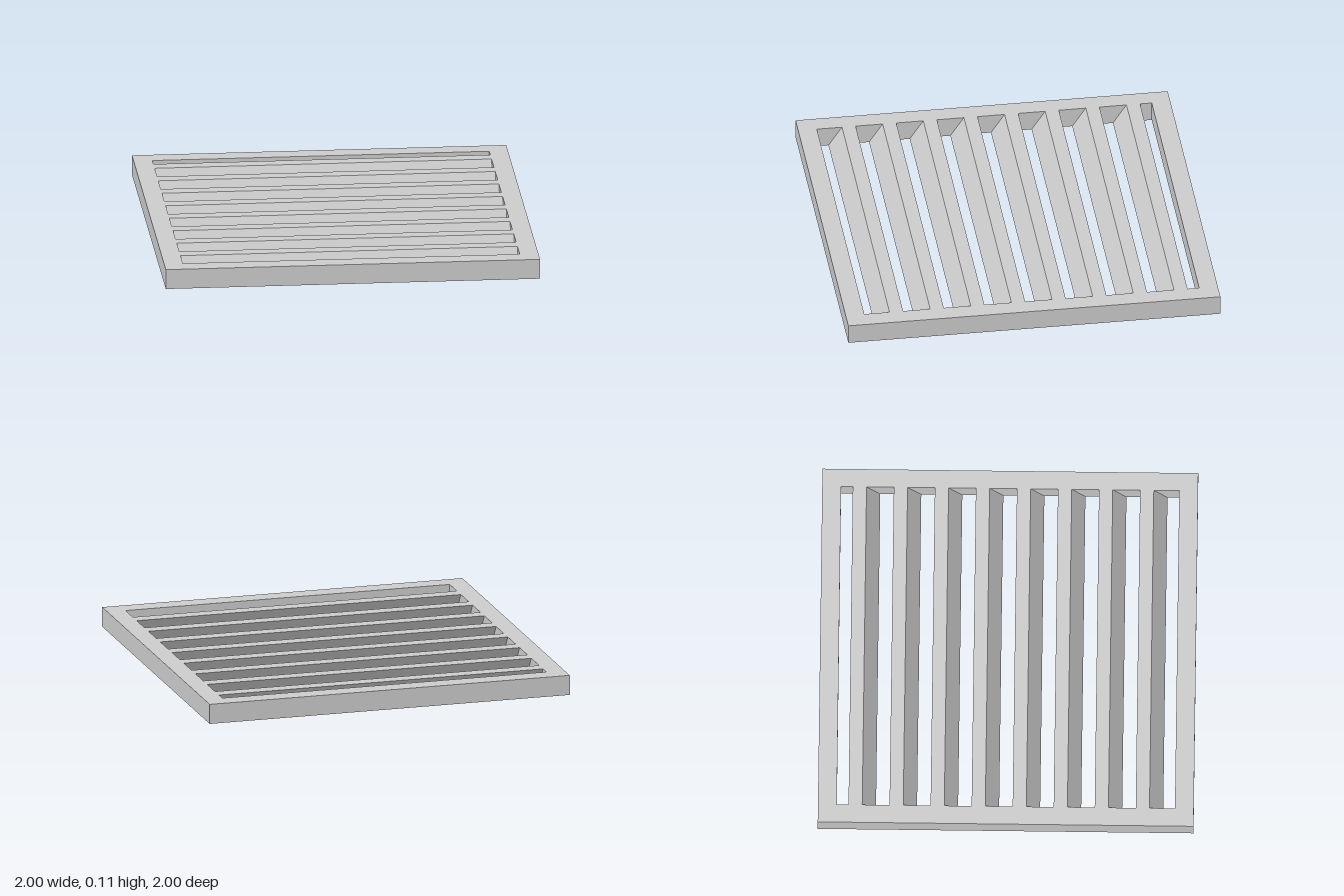
import * as THREE from 'three';

const HEIGHT = 0.108;   // thickness of the whole grille
const INNER = 0.9;      // half width of the opening
const SLATS = 8;
const PITCH = 0.2184;
const SLAT_W = 0.073;   // flat width of a slat, also its slant

function square(path, h) {
  path.moveTo(-h, -h);
  path.lineTo(h, -h);
  path.lineTo(h, h);
  path.lineTo(-h, h);
  path.closePath();
  return path;
}

export function createModel() {
  const group = new THREE.Group();
  group.name = 'ventGrille';
  const material = new THREE.MeshStandardMaterial({ color: 0xcccccc, flatShading: true });

  // Square frame lying flat
  const outline = square(new THREE.Shape(), 1);
  outline.holes.push(square(new THREE.Path(), INNER));
  const frameGeo = new THREE.ExtrudeGeometry(outline, { depth: HEIGHT, bevelEnabled: false });
  frameGeo.rotateX(-Math.PI / 2);
  const frame = new THREE.Mesh(frameGeo, material);
  frame.name = 'frame';
  group.add(frame);

  // Slanted slat: a parallelogram section, high at the back and low at the front
  const section = new THREE.Shape([
    new THREE.Vector2(SLAT_W, HEIGHT),
    new THREE.Vector2(0, HEIGHT),
    new THREE.Vector2(-SLAT_W, 0),
    new THREE.Vector2(0, 0),
  ]);
  const slatGeo = new THREE.ExtrudeGeometry(section, { depth: 2 * INNER, bevelEnabled: false });
  slatGeo.translate(0, 0, -INNER);
  slatGeo.rotateY(Math.PI / 2);

  // Row of slats from back to front
  const slats = new THREE.Group();
  slats.name = 'slats';
  for (let i = 0; i < SLATS; i++) {
    const slat = new THREE.Mesh(slatGeo, material);
    slat.name = `slat${i + 1}`;
    slat.position.z = (i - (SLATS - 1) / 2) * PITCH;
    slats.add(slat);
  }
  group.add(slats);

  return group;
}
